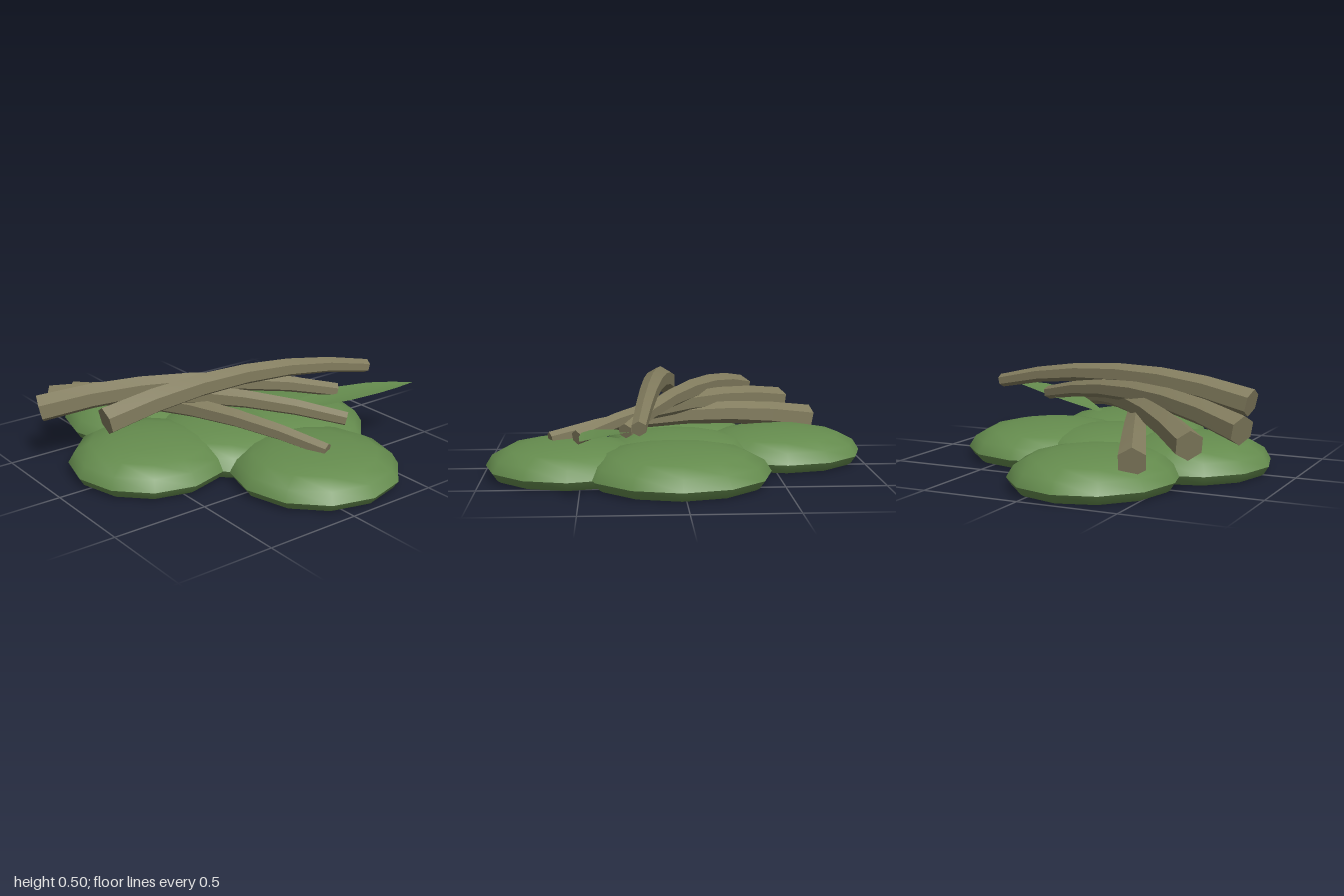
import * as THREE from 'three';
import { toCreasedNormals } from 'three/addons/utils/BufferGeometryUtils.js';

const green = new THREE.MeshStandardMaterial({ color: 0x658c4e, name: 'leafGreen' });
const leafMat = new THREE.MeshStandardMaterial({ color: 0x658c4e, name: 'leafGreenThin', side: THREE.DoubleSide });
const brown = new THREE.MeshStandardMaterial({ color: 0x827c5e, name: 'driedStem' });

function add(group, name, geometry, material) {
  const mesh = new THREE.Mesh(geometry, material);
  mesh.name = name;
  group.add(mesh);
  return mesh;
}

// Low rounded pad: flat base, undercut rim, shallow domed top
function padGeometry(radius, height) {
  const profile = [[0, 0], [0.9, 0], [0.94, 0.06], [1, 0.27], [0.92, 0.58], [0.74, 0.81], [0.5, 0.93], [0.25, 0.985], [0, 1]]
    .map(([r, y]) => new THREE.Vector2(r * radius, y * height));
  return toCreasedNormals(new THREE.LatheGeometry(profile, 12), 0.9);
}

// Tapered six-sided stem, arched upward between its thick and thin ends
function stemGeometry(start, end, arch, r0, r1) {
  const geo = new THREE.CylinderGeometry(r1, r0, 1, 6, 6);
  const a = new THREE.Vector3(...start);
  const span = new THREE.Vector3(...end).sub(a);
  const pos = geo.attributes.position;
  const worldUp = new THREE.Vector3(0, 1, 0);
  for (let i = 0; i < pos.count; i++) {
    const t = pos.getY(i) + 0.5;
    const dir = span.clone();
    dir.y += arch * 4 * (1 - 2 * t);
    dir.normalize();
    const side = dir.clone().cross(worldUp).normalize();
    const up = side.clone().cross(dir);
    const p = a.clone().addScaledVector(span, t);
    p.y += arch * 4 * t * (1 - t);
    p.addScaledVector(side, pos.getX(i)).addScaledVector(up, pos.getZ(i));
    pos.setXYZ(i, p.x, p.y, p.z);
  }
  return toCreasedNormals(geo, 0.7);
}

// Pointed blade with a slight fold along its midrib
function leafGeometry() {
  // midrib x, y, z and half width
  const rows = [[0.2, 0.22, -0.17, 0.02], [0.27, 0.25, -0.34, 0.075], [0.35, 0.28, -0.53, 0.1],
    [0.41, 0.297, -0.68, 0.08], [0.45, 0.305, -0.79, 0.045], [0.485, 0.312, -0.89, 0.002]];
  const verts = [], index = [];
  rows.forEach(([x, y, z, w], i) => {
    for (const s of [-1, 0, 1]) verts.push(x + s * w * 0.94, y + Math.abs(s) * w * 0.12, z + s * w * 0.35);
    if (i === 0) return;
    for (let k = 0; k < 2; k++) {
      const a = (i - 1) * 3 + k, b = a + 3;
      index.push(a, a + 1, b, a + 1, b + 1, b);
    }
  });
  const geo = new THREE.BufferGeometry();
  geo.setAttribute('position', new THREE.Float32BufferAttribute(verts, 3));
  geo.setIndex(index);
  geo.computeVertexNormals();
  return geo;
}

export function createModel() {
  const group = new THREE.Group();
  group.name = 'stemsOnPads';

  // Four outer pads around one in the middle: x, z, radius, height
  const pads = {
    leftPad: [0.56, -0.14, 0.43, 0.178],
    rightPad: [-0.55, 0.17, 0.45, 0.18],
    backPad: [0.02, -0.36, 0.47, 0.185],
    frontPad: [-0.03, 0.46, 0.41, 0.185],
    centrePad: [0, 0.01, 0.42, 0.186],
  };
  for (const [name, [x, z, r, h]] of Object.entries(pads)) {
    add(group, name, padGeometry(r, h), green).position.set(x, 0, z);
  }
  group.getObjectByName('rightPad').scale.z = 0.92;
  group.getObjectByName('backPad').scale.z = 0.96;

  // Fanned dried stems: thick end, thin end, arch height
  const stems = [
    [[0.04, 0.35, 0.75], [0.22, 0.35, -0.8], 0.095],
    [[-0.42, 0.295, 0.86], [0.28, 0.29, -0.53], 0.09],
    [[-0.62, 0.245, 0.68], [0.515, 0.235, -0.39], 0.08],
    [[-0.76, 0.175, 0.46], [0.66, 0.18, -0.13], 0.075],
  ];
  stems.forEach(([a, b, arch], i) =>
    add(group, 'stem' + (i + 1), stemGeometry(a, b, arch, 0.073, 0.037), brown));

  add(group, 'looseLeaf', leafGeometry(), leafMat);
  return group;
}
